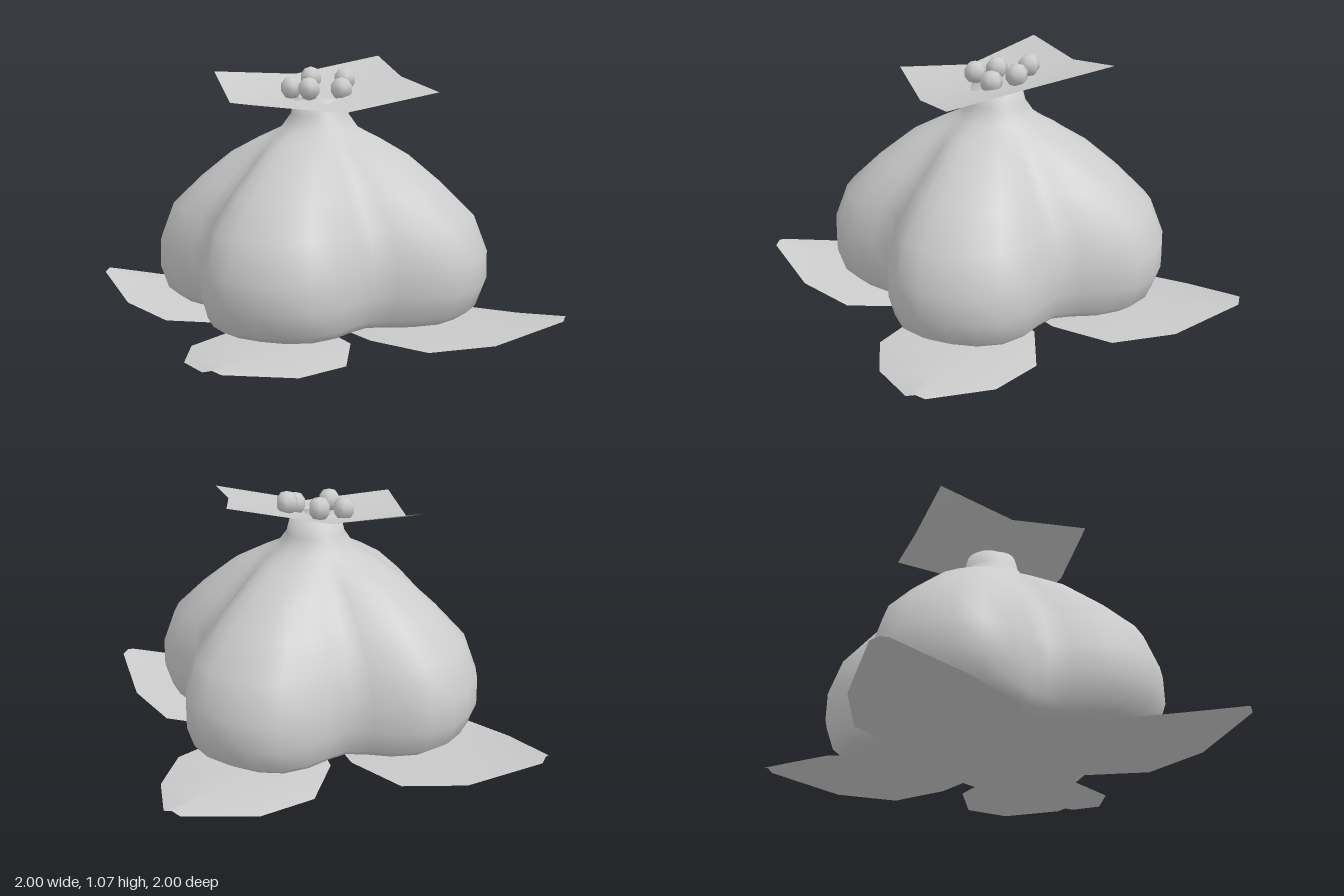
import * as THREE from 'three';
import { mergeVertices } from 'three/addons/utils/BufferGeometryUtils.js';

const solid = new THREE.MeshStandardMaterial({ color: 0xcccccc });
const thin = new THREE.MeshStandardMaterial({ color: 0xcccccc, side: THREE.DoubleSide });

function addMesh(parent, name, geometry, material) {
  const mesh = new THREE.Mesh(geometry, material);
  mesh.name = name;
  parent.add(mesh);
  return mesh;
}

// Smooth sheet through rows of three points
function sheet(rows) {
  const index = [];
  for (let i = 0; i < rows.length - 1; i++) {
    for (let j = 0; j < 2; j++) {
      const a = i * 3 + j, b = a + 1, c = a + 3, d = a + 4;
      index.push(a, c, b, b, c, d);
    }
  }
  const geometry = new THREE.BufferGeometry();
  geometry.setAttribute('position', new THREE.Float32BufferAttribute(rows.flat(2), 3));
  geometry.setIndex(index);
  geometry.computeVertexNormals();
  return geometry;
}

// Four-lobed bulb: a lathe whose radius is pinched on the diagonals
function bulbGeometry() {
  const profile = [
    [0, 0.11], [0.2, 0.095], [0.36, 0.08], [0.52, 0.085], [0.6, 0.105], [0.65, 0.14],
    [0.682, 0.23], [0.68, 0.34], [0.625, 0.48], [0.5, 0.6], [0.37, 0.705],
    [0.25, 0.77], [0.155, 0.815], [0.115, 0.87], [0.1, 0.93], [0, 0.935],
  ].map(([r, y]) => new THREE.Vector2(r, y));
  let geometry = new THREE.LatheGeometry(profile, 40);
  const p = geometry.attributes.position;
  for (let i = 0; i < p.count; i++) {
    const x = p.getX(i), z = p.getZ(i);
    const valley = ((1 - Math.cos(4 * Math.atan2(x, z))) / 2) ** 1.9;
    const depth = 0.27 * THREE.MathUtils.smoothstep(Math.hypot(x, z), 0.1, 0.4);
    const k = 1 - depth * valley;
    p.setX(i, x * k);
    p.setZ(i, z * k);
  }
  geometry.deleteAttribute('normal');
  geometry.deleteAttribute('uv');
  geometry = mergeVertices(geometry, 1e-4);
  geometry.computeVertexNormals();
  return geometry;
}

export function createModel() {
  const model = new THREE.Group();
  model.name = 'flowerBulb';

  addMesh(model, 'bulb', bulbGeometry(), solid);

  // Base leaves: distance out, half width, midrib height, edge height
  const sections = [
    [0.07, 0.03, 0.0, 0.0], [0.3, 0.24, 0.045, 0.03], [0.55, 0.31, 0.075, 0.035],
    [0.78, 0.22, 0.095, 0.06], [1.0, 0.035, 0.135, 0.125],
  ];
  const leaf = sheet(sections.map(([z, w, mid, edge]) =>
    [[-w, edge, z], [0, mid, z], [w, edge, z]]));
  for (let i = 0; i < 4; i++) {
    addMesh(model, 'baseLeaf' + (i + 1), leaf, thin).rotation.y = i * Math.PI / 2;
  }

  // Tilted square petal on the neck
  addMesh(model, 'topPetal', sheet([
    [[-0.48, 1.02, -0.03], [-0.21, 1.0, -0.26], [0.09, 1.07, -0.48]],
    [[-0.3, 0.92, 0.2], [0, 0.925, 0], [0.28, 1.01, -0.19]],
    [[-0.1, 0.945, 0.44], [0.19, 0.905, 0.25], [0.5, 0.975, 0.04]],
  ]), thin);

  // Ring of small beads on the petal
  const bead = new THREE.SphereGeometry(0.046, 6, 5);
  [[-0.08, 1.0, -0.11], [0.07, 1.0, -0.1], [0.09, 0.97, -0.005],
    [-0.01, 0.975, 0.09], [-0.11, 0.97, 0.03]].forEach((at, i) => {
    addMesh(model, 'stamen' + (i + 1), bead, solid).position.set(...at);
  });

  return model;
}
